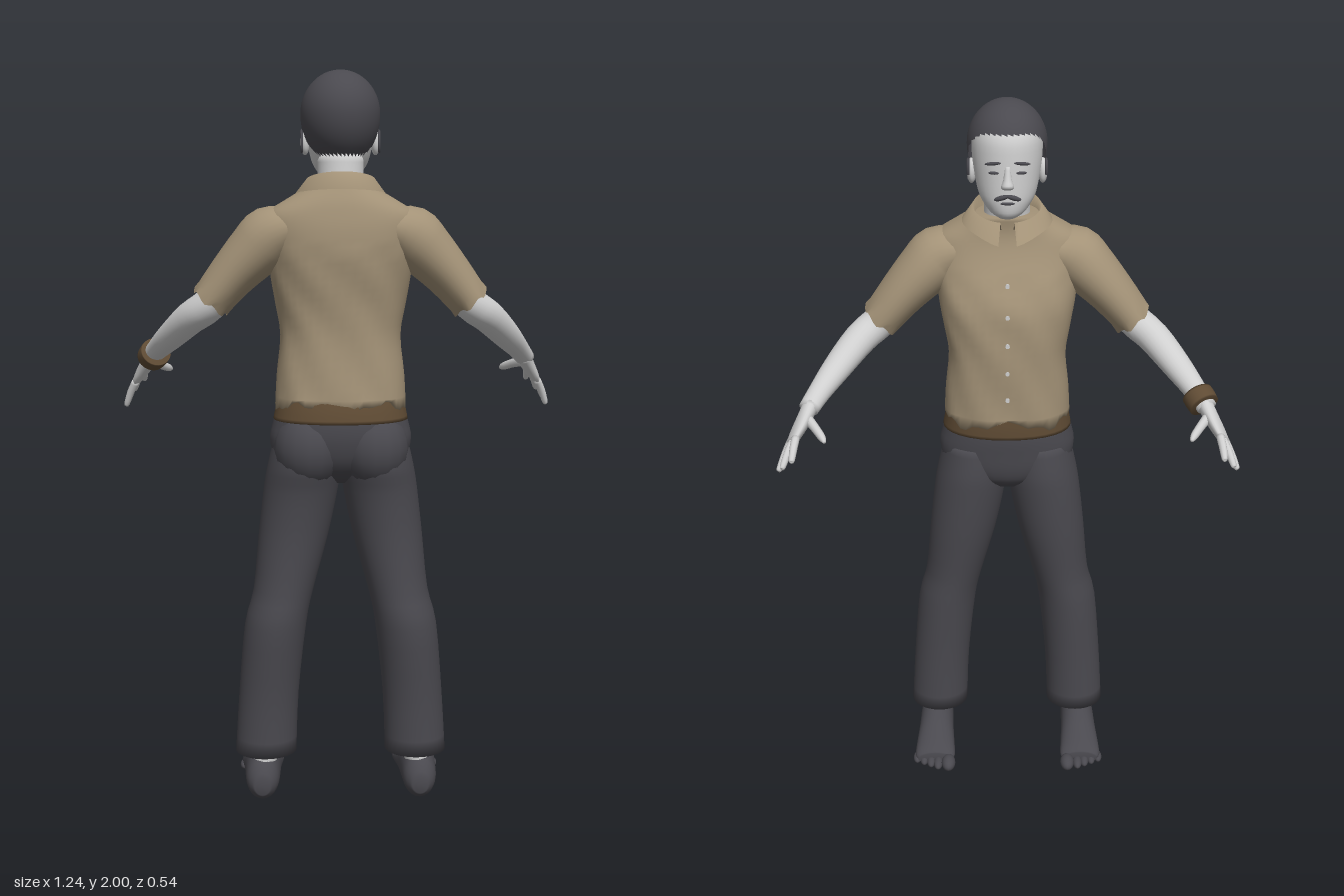
import * as THREE from 'three';

const paint = (name, color, side = THREE.FrontSide) => {
  const m = new THREE.MeshStandardMaterial({ color, side });
  m.name = name;
  return m;
};
const V = (x, y, z) => new THREE.Vector3(x, y, z);

// Catmull-Rom subdivision of a list of numeric rows
function refine(rows, k = 3) {
  const out = [];
  for (let i = 0; i < rows.length - 1; i++) {
    const [p, a, b, q] = [rows[Math.max(i - 1, 0)], rows[i], rows[i + 1], rows[Math.min(i + 2, rows.length - 1)]];
    for (let s = 0; s < k; s++) {
      const t = s / k;
      out.push(a.map((_, n) => 0.5 * (2 * a[n] + (b[n] - p[n]) * t
        + (2 * p[n] - 5 * a[n] + 4 * b[n] - q[n]) * t * t + (3 * a[n] - p[n] - 3 * b[n] + q[n]) * t * t * t)));
    }
  }
  out.push(rows[rows.length - 1]);
  return out;
}

// Skin through elliptical rings [x, y, z, radius along ref, other radius]
function loft(rows, ref, { axis = null, n = 24, power = 2, caps = true, rule = null } = {}) {
  const R = refine(rows), pos = [], index = [];
  const C = R.map(r => V(r[0], r[1], r[2]));
  R.forEach((r, k) => {
    const t = axis ? axis.clone() : C[Math.min(k + 1, C.length - 1)].clone().sub(C[Math.max(k - 1, 0)]).normalize();
    const u = ref.clone().addScaledVector(t, -ref.dot(t)).normalize();
    const v = t.clone().cross(u);
    for (let j = 0; j < n; j++) {
      const a = j / n * Math.PI * 2, c = Math.cos(a), s = Math.sin(a), e = 2 / power;
      const p = C[k].clone()
        .addScaledVector(u, r[3] * Math.sign(c) * Math.abs(c) ** e)
        .addScaledVector(v, r[4] * Math.sign(s) * Math.abs(s) ** e);
      if (rule) rule(p, a, k, R.length - 1);
      pos.push(p.x, p.y, p.z);
    }
  });
  for (let k = 0; k < R.length - 1; k++) for (let j = 0; j < n; j++) {
    const a = k * n + j, b = k * n + (j + 1) % n;
    index.push(a, b, b + n, a, b + n, a + n);
  }
  if (caps) {
    const last = (R.length - 1) * n, c0 = R.length * n;
    pos.push(...C[0].toArray(), ...C[C.length - 1].toArray());
    for (let j = 0; j < n; j++) {
      const j1 = (j + 1) % n;
      index.push(c0, j1, j, c0 + 1, last + j, last + j1);
    }
  }
  const g = new THREE.BufferGeometry();
  g.setAttribute('position', new THREE.Float32BufferAttribute(pos, 3));
  g.setIndex(index);
  g.computeVertexNormals();
  return g;
}

export function createModel() {
  const root = new THREE.Group();
  root.name = 'standingMan';
  const skin = paint('paleSkin', 0xcfcfcf);
  const dark = paint('charcoal', 0x4a494f, THREE.DoubleSide);
  const tan = paint('tanCloth', 0xa39277, THREE.DoubleSide);
  const brown = paint('brownLeather', 0x5f4b34, THREE.DoubleSide);
  const X = V(1, 0, 0), Y = V(0, 1, 0), up = { axis: Y, n: 32 };

  const add = (name, geo, mat) => {
    const m = new THREE.Mesh(geo, mat);
    m.name = name;
    root.add(m);
    return m;
  };
  const ball = (name, mat, p, r, rotZ = 0, rotY = 0) => {
    const m = add(name, new THREE.SphereGeometry(1, 16, 12), mat);
    m.position.set(...p);
    m.scale.set(...r);
    m.rotation.set(0, rotY, rotZ);
    return m;
  };
  // Rows [y, half width, back z, front z] become upright rings
  const upright = rows => rows.map(([y, w, b, f]) => [0, y, (b + f) / 2, w, (b - f) / 2]);

  // Shirt body with soft folds and an uneven hem
  const shirtRows = [[1.115, .178, .245, -.02], [1.2, .173, .238, -.021], [1.3, .163, .233, -.025], [1.38, .175, .236, -.025],
    [1.45, .187, .245, -.02], [1.52, .196, .252, .003], [1.58, .205, .25, .028], [1.625, .2, .242, .042],
    [1.66, .15, .232, .045], [1.695, .09, .215, .04]];
  add('shirtBody', loft(upright(shirtRows), X, {
    axis: Y, n: 48, power: 2.35,
    rule: (p, a, k) => {
      if (k === 0) p.y += .012 * Math.sin(a * 5) + .008 * Math.sin(a * 13);
      if (k < 16) p.z += .003 * Math.sin(a * 8 + k * 0.9);
    }
  }), tan);

  // Folded collar, lower at the front where its two points part
  {
    const pos = [], index = [], n = 40, gap = .2;
    for (let i = 0; i <= n; i++) {
      const a = gap + (Math.PI * 2 - 2 * gap) * i / n, s = Math.sin(a), c = Math.cos(a), f = (1 + c) / 2;
      const tip = f ** 10 * .025;
      pos.push(.08 * s, 1.70 - .035 * f, .12 - .085 * c);
      pos.push(.092 * s, 1.735 - .045 * f, .115 - .1 * c);
      pos.push(.122 * s, 1.69 - .03 * f - tip, .107 - .122 * c - tip * .5);
      if (i < n) for (let r = 0; r < 2; r++) {
        const q = i * 3 + r;
        index.push(q, q + 1, q + 4, q, q + 4, q + 3);
      }
    }
    const g = new THREE.BufferGeometry();
    g.setAttribute('position', new THREE.Float32BufferAttribute(pos, 3));
    g.setIndex(index);
    g.computeVertexNormals();
    add('collar', g, tan);
  }

  // Buttons down the front
  for (const [y, z] of [[1.2, -.023], [1.28, -.026], [1.36, -.028], [1.44, -.024], [1.52, .001]]) {
    const b = add('button', new THREE.CylinderGeometry(.006, .006, .008, 10), skin);
    b.rotation.x = Math.PI / 2;
    b.position.set(0, y, z);
  }

  // Belt, hips and trousers
  add('waistband', loft(upright([[1.075, .183, .258, -.014], [1.11, .176, .25, -.014], [1.15, .168, .235, -.01]]), X, { ...up, power: 2.2 }), brown);
  add('hips', loft(upright([[.9, .06, .16, .05], [.93, .13, .205, .015], [.97, .18, .235, 0], [1.02, .193, .25, -.006],
    [1.06, .186, .253, -.01], [1.09, .179, .25, -.01]]), X, { ...up, power: 2.2 }), dark);

  for (const s of [1, -1]) {
    const mir = rows => rows.map(([x, ...r]) => [x * s, ...r]);
    const M = (x, y, z) => V(x * s, y, z);

    add('trouserLeg', loft(mir([[.21, .13, .13, .085, .08], [.201, .3, .13, .083, .084], [.181, .5, .135, .085, .1],
      [.158, .6, .127, .083, .097], [.13, .75, .115, .096, .104], [.109, .88, .115, .102, .115],
      [.099, .95, .122, .1, .125], [.09, 1.03, .125, .09, .12]]), X, up), dark);
    ball('buttock', dark, [s * .088, 1.0, .165], [.095, .11, .1]);

    // Bare ankle and dark foot with toes
    add('ankle', loft(mir([[.217, .07, .135, .037, .055], [.216, .12, .133, .036, .054], [.215, .2, .13, .04, .055]]), X, up), skin);
    add('foot', loft(mir([[.22, .05, .212, .022, .025], [.22, .06, .185, .044, .056], [.22, .064, .13, .05, .063],
      [.221, .055, .06, .053, .053], [.222, .041, 0, .058, .039], [.222, .03, -.045, .06, .028], [.222, .025, -.06, .05, .02]]),
      X, { axis: V(0, 0, -1) }), dark);
    for (let i = 0; i < 5; i++) {
      const r = i ? .0145 - i * .0006 : .021;
      ball('toe', dark, [s * (.181 + (i ? .01 : 0) + i * .0215), r + .004, -.078 + i * .01], [r, r, .034 - i * .002]);
    }

    // Short sleeve, open at the cuff
    add('sleeve', loft(mir([[.12, 1.59, .14, .055, .085], [.183, 1.568, .138, .08, .092], [.226, 1.53, .13, .076, .094],
      [.29, 1.463, .122, .064, .088], [.35, 1.39, .118, .055, .08]]), M(.79, .62, 0), {
      n: 28, caps: false, rule: (p, a, k, end) => { if (k === end) p.y += .007 * Math.sin(a * 6); }
    }), tan);

    // Bare arm
    add('arm', loft(mir([[.27, 1.47, .125, .047, .05], [.35, 1.385, .12, .046, .049], [.405, 1.345, .085, .044, .047],
      [.465, 1.288, .012, .037, .041], [.51, 1.243, -.06, .029, .032], [.537, 1.212, -.105, .024, .029]]), Y), skin);

    // Hand: flat palm, four fingers and a thumb
    const wide = M(-.32, .49, -.81);
    add('palm', loft(mir([[.53, 1.222, -.092, .026, .022], [.545, 1.196, -.122, .034, .02],
      [.562, 1.17, -.157, .043, .017], [.577, 1.148, -.186, .039, .012]]), wide, { n: 20 }), skin);
    const tips = [[.568, 1.13, -.268], [.597, 1.102, -.25], [.612, 1.08, -.217], [.614, 1.066, -.175]];
    tips.forEach((tip, i) => {
      const w = .031 - i * .021, b = [.572 - .32 * w, 1.156 + .49 * w, -.176 - .81 * w];
      const mid = b.map((v, q) => (v + tip[q]) / 2 + (q === 1 ? .005 : 0));
      const end = b.map((v, q) => v + (tip[q] - v) * .93);
      add('finger', loft(mir([[...b, .011, .011], [...mid, .0105, .0105], [...end, .008, .008], [...tip, .003, .003]]), wide, { n: 10 }), skin);
    });
    add('thumb', loft(mir([[.54, 1.198, -.13, .016, .014], [.515, 1.187, -.17, .013, .012],
      [.492, 1.173, -.207, .011, .01], [.484, 1.167, -.224, .004, .004]]), Y, { n: 12 }), skin);

    // Ear with a dark rim
    ball('ear', skin, [s * .094, 1.812, .092], [.013, .034, .022]);
    const rim = add('earRim', new THREE.TorusGeometry(.021, .004, 6, 20, Math.PI * 1.5), dark);
    rim.position.set(s * .103, 1.814, .092);
    rim.rotation.y = Math.PI / 2;
    rim.rotation.x = -.4;
    rim.scale.y = 1.35;

    // Eye, brow and half of the moustache
    ball('eye', dark, [s * .036, 1.831, -.015], [.014, .004, .005], 0, -s * .25);
    ball('brow', dark, [s * .038, 1.855, -.0135], [.022, .0045, .005], -s * .12, -s * .28);
    ball('moustache', dark, [s * .016, 1.768, -.025], [.021, .0065, .008], -s * .3, -s * .2);
  }

  // Wrist band on one arm
  add('wristBand', loft([[-.514, 1.236, -.066, .041, .043], [-.522, 1.226, -.082, .042, .044], [-.531, 1.215, -.098, .04, .042]], Y), brown);

  // Neck, head and face
  add('neck', loft([[0, 1.62, .13, .07, .07], [0, 1.7, .118, .062, .064], [0, 1.78, .105, .062, .068]], X, up), skin);
  add('head', loft(upright([[1.705, .025, .06, -.002], [1.718, .046, .095, -.015], [1.74, .064, .13, -.02], [1.765, .077, .155, -.021],
    [1.81, .087, .183, -.02], [1.86, .093, .198, -.018], [1.91, .092, .2, -.012], [1.95, .075, .175, .015], [1.975, .04, .14, .05]]), X, up), skin);
  add('nose', loft([[0, 1.788, -.016, .014, .008], [0, 1.797, -.022, .017, .018], [0, 1.815, -.02, .011, .013],
    [0, 1.848, -.014, .007, .007]], X, { axis: Y, n: 14 }), skin);
  ball('mouth', dark, [0, 1.752, -.021], [.019, .004, .006]);

  // Hair cap: the edge runs from the brow, past the ears, to the nape
  const hair = new THREE.SphereGeometry(1, 40, 22), hp = hair.attributes.position;
  for (let row = 0, i = 0; row <= 22; row++) for (let col = 0; col <= 40; col++, i++) {
    const a = col / 40 * Math.PI * 2, f = Math.sin(a);
    const t = row / 22 * (1.2 + 1.3 * THREE.MathUtils.smoothstep(f, -.9, .6));
    const c = Math.cos(t), r = Math.sin(t);
    hp.setXYZ(i, -.106 * Math.cos(a) * r, 1.885 + c * (c > 0 ? .115 : .14), .095 + .13 * f * r);
  }
  hair.computeVertexNormals();
  add('hair', hair, dark);

  return root;
}
